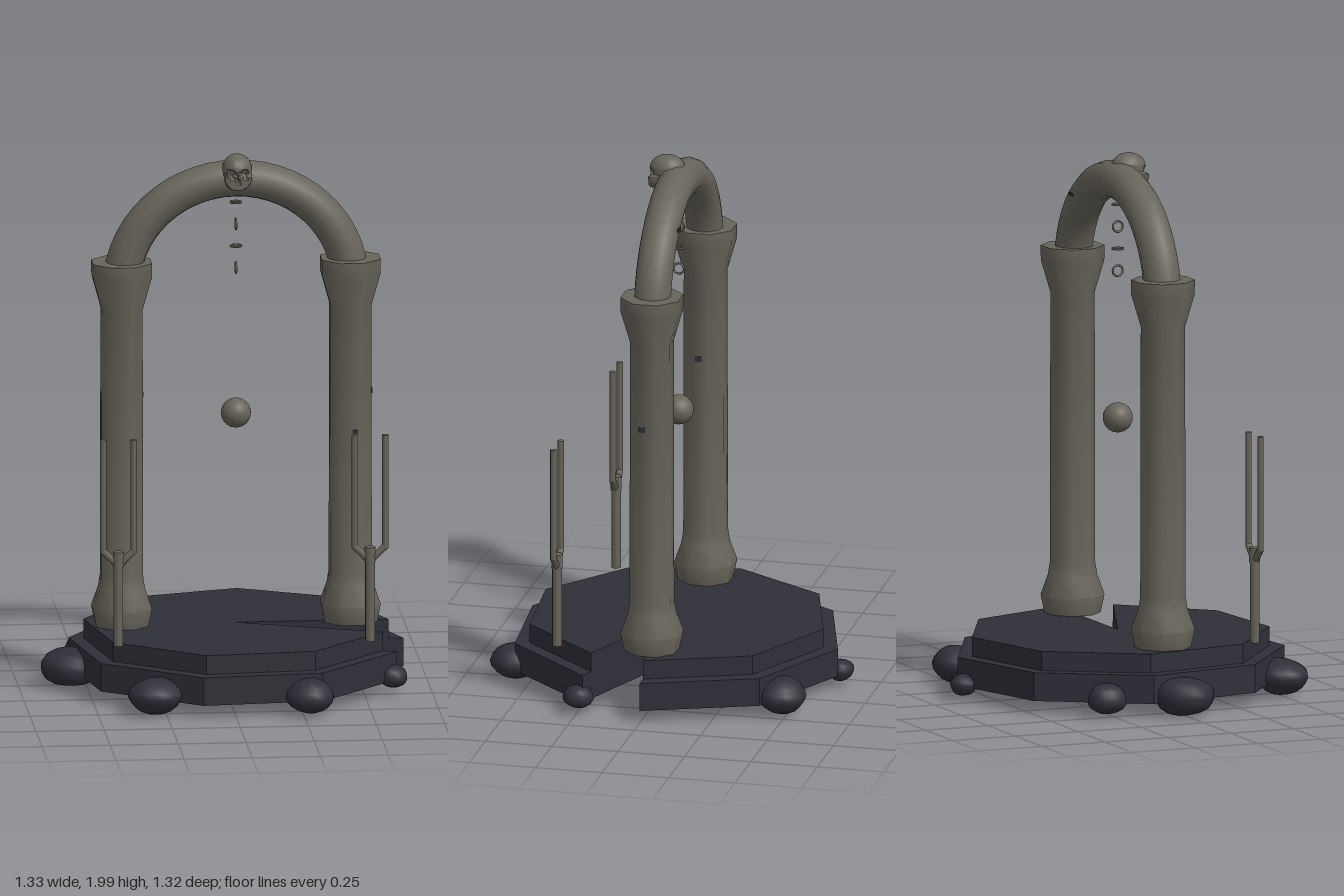
import * as THREE from 'three';
import { toCreasedNormals } from 'three/addons/utils/BufferGeometryUtils.js';

const stone = new THREE.MeshStandardMaterial({ color: 0x68645a });
stone.name = 'weathered stone';
const slate = new THREE.MeshStandardMaterial({ color: 0x2f2f39 });
slate.name = 'dark slate';

const CX = 0.05; // arch axis
const DECK = 0.233; // top of the platform

function add(parent, name, geometry, material, x = 0, y = 0, z = 0) {
  const mesh = new THREE.Mesh(geometry, material);
  mesh.name = name;
  mesh.position.set(x, y, z);
  parent.add(mesh);
  return mesh;
}

// Eight-sided slab with a narrow wedge missing
function slab(radius, height) {
  const shape = new THREE.Shape();
  shape.moveTo(0, 0);
  for (let i = 0; i <= 8; i++) {
    const a = (i / 8) * THREE.MathUtils.degToRad(338.6);
    shape.lineTo(radius * Math.cos(a), radius * Math.sin(a));
  }
  shape.closePath();
  return new THREE.ExtrudeGeometry(shape, { depth: height, bevelEnabled: false }).rotateX(-Math.PI / 2);
}

// Lumpy boulder: a sphere with a gentle wave over its surface
function boulder(rx, ry, rz, seed) {
  const g = new THREE.SphereGeometry(1, 14, 10);
  const p = g.attributes.position;
  const v = new THREE.Vector3();
  for (let i = 0; i < p.count; i++) {
    v.fromBufferAttribute(p, i);
    const k = 1 + 0.04 * Math.sin(3 * v.x + seed) * Math.cos(4 * v.z + seed) + 0.03 * Math.sin(5 * v.y + seed);
    p.setXYZ(i, v.x * k * rx, v.y * k * ry, v.z * k * rz);
  }
  return toCreasedNormals(g, 1);
}

// Skull: a sphere with a narrow jaw drawn down at the front and hollow eyes
function skullGeometry() {
  const g = new THREE.SphereGeometry(1, 32, 24);
  const p = g.attributes.position;
  for (let i = 0; i < p.count; i++) {
    let x = p.getX(i), y = p.getY(i), z = p.getZ(i);
    const eye = Math.hypot(Math.abs(x) - 0.4, y + 0.2);
    const nose = Math.hypot(x * 1.6, y + 0.55);
    if (z > 0) {
      if (y < -0.3) {
        const t = (-0.3 - y) / 0.7;
        x *= 1 + 0.35 * t;
        z = Math.max(z, 0.55 + 0.4 * Math.min(z * 3, 1));
        y -= 0.45 * t;
      }
      if (eye < 0.26) z -= 0.28;
      if (nose < 0.14) z -= 0.15;
    }
    p.setXYZ(i, x * 0.054, y * 0.053, z * 0.066);
  }
  return toCreasedNormals(g, 0.6);
}

class ArchCurve extends THREE.Curve {
  getPoint(t, target = new THREE.Vector3()) {
    const a = Math.PI * t;
    return target.set(-0.42 * Math.cos(a), 0.4 * Math.sin(a), 0);
  }
}

// Two-pronged stand
function fork() {
  const group = new THREE.Group();
  const h = 0.3;
  add(group, 'forkShaft', new THREE.CylinderGeometry(0.018, 0.018, h, 10), stone, 0, h / 2, 0);
  add(group, 'forkSocket', new THREE.CylinderGeometry(0.021, 0.021, 0.055, 10), stone, 0, 0.325, 0);
  for (const s of [-1, 1]) {
    const arm = new THREE.LineCurve3(new THREE.Vector3(0, 0.3, 0), new THREE.Vector3(s * 0.056, 0.355, 0));
    add(group, 'forkArm', new THREE.TubeGeometry(arm, 1, 0.013, 8), stone);
    add(group, 'forkTine', new THREE.CylinderGeometry(0.012, 0.012, 0.425, 8), stone, s * 0.056, 0.56, 0);
  }
  return group;
}

export function createModel() {
  const model = new THREE.Group();
  model.name = 'ruinedArch';

  // Stepped platform
  add(model, 'lowerPlatform', slab(0.615, 0.105), slate, CX, 0.057, 0);
  add(model, 'upperPlatform', slab(0.56, DECK - 0.162), slate, CX, 0.162, 0);

  // Boulders round the rim: x, y, z, then radii
  [
    [0.06, 0.068, -0.61, 0.05, 0.04, 0.05],
    [0.43, 0.08, -0.48, 0.096, 0.068, 0.088],
    [-0.49, 0.076, -0.275, 0.07, 0.057, 0.073],
    [-0.56, 0.08, 0.005, 0.108, 0.07, 0.11],
    [-0.29, 0.08, 0.505, 0.102, 0.067, 0.096],
    [0.272, 0.08, 0.56, 0.086, 0.066, 0.092],
    [0.607, 0.075, 0.245, 0.052, 0.042, 0.058],
  ].forEach(([x, y, z, rx, ry, rz], i) => add(model, 'boulder', boulder(rx, ry, rz, i * 1.7), slate, x, y, z));

  // Pillars with flared foot and capital
  const profile = [
    [0, DECK], [0.103, DECK], [0.117, 0.3], [0.09, 0.375], [0.083, 0.42],
    [0.081, 1.42], [0.116, 1.54], [0.117, 1.595], [0, 1.595],
  ].map(([r, y]) => new THREE.Vector2(r, y));
  const pillar = toCreasedNormals(new THREE.LatheGeometry(profile, 8, Math.PI / 8), 0.83);
  for (const s of [-1, 1]) add(model, s > 0 ? 'leftPillar' : 'rightPillar', pillar, stone, CX + s * 0.42, 0, 0);

  // Arch, skull keystone and hanging ball
  add(model, 'arch', new THREE.TubeGeometry(new ArchCurve(), 28, 0.069, 12), stone, CX, 1.5, 0);
  add(model, 'skull', skullGeometry(), stone, CX, 1.947, 0.042);
  add(model, 'ball', new THREE.SphereGeometry(0.055, 24, 16), stone, CX, 1.02, 0);

  // Chain links, turned alternately
  for (let i = 0; i < 4; i++) {
    const link = add(model, 'chainLink', new THREE.TorusGeometry(0.02, 0.004, 6, 16), stone, CX, 1.81 - i * 0.082, 0);
    if (i % 2) link.rotation.y = Math.PI / 2;
    else link.rotation.x = Math.PI / 2;
  }

  // Forked stands beside the platform
  for (const s of [-1, 1]) {
    const stand = fork();
    stand.name = s > 0 ? 'leftFork' : 'rightFork';
    stand.position.set(CX + s * 0.462, DECK, 0.347);
    model.add(stand);
  }

  // Small dark chips in the stone: position and size
  [
    [0.546, 1.1, 0.02, 0.006, 0.018, 0.025],
    [0.482, 0.955, 0.075, 0.02, 0.014, 0.006],
    [-0.295, 1.1, 0.01, 0.006, 0.02, 0.025],
    [0.325, 1.81, -0.066, 0.035, 0.012, 0.008],
    [0.205, 1.905, 0.03, 0.035, 0.006, 0.02],
  ].forEach(([x, y, z, w, h, d]) => add(model, 'chip', new THREE.BoxGeometry(w, h, d), slate, x, y, z));

  return model;
}
